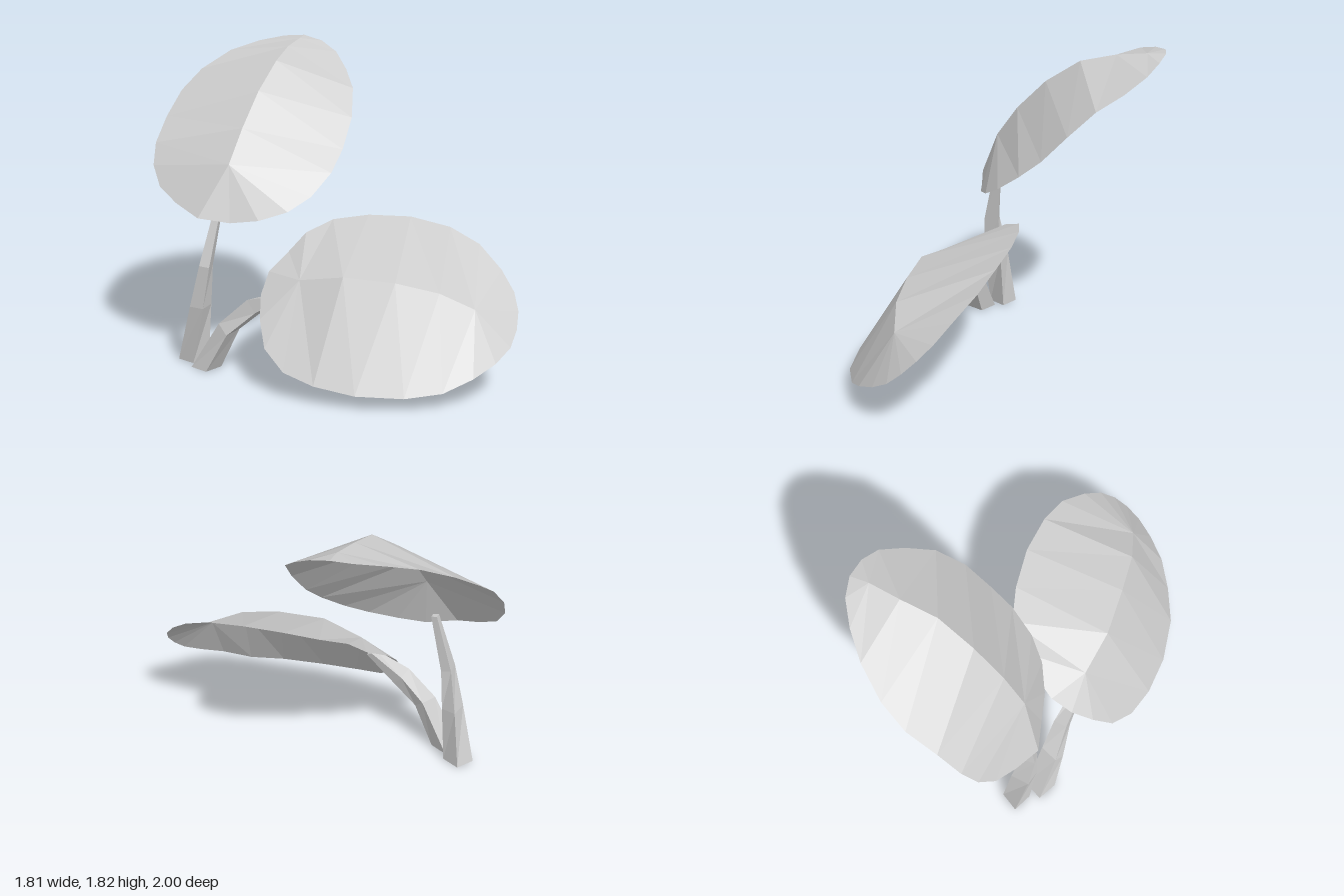
import * as THREE from 'three';

const grey = new THREE.MeshStandardMaterial({ color: 0xcccccc, flatShading: true, side: THREE.DoubleSide });
grey.name = 'pale grey';

// Mesh from a flat list of triangle corners
function faceted(name, corners) {
  const geometry = new THREE.BufferGeometry();
  geometry.setAttribute('position', new THREE.Float32BufferAttribute(corners.flat(), 3));
  geometry.computeVertexNormals();
  const mesh = new THREE.Mesh(geometry, grey);
  mesh.name = name;
  return mesh;
}

// Leaf blade: a closed rim joined to a raised midrib, fanned at both ends
function leaf(name, rib, rim) {
  const start = new THREE.Vector3(...rib[0]);
  const axis = new THREE.Vector3(...rib[rib.length - 1]).sub(start).normalize();
  const along = (p) => new THREE.Vector3(...p).sub(start).dot(axis);
  const nearest = (p) => {
    let best = 0;
    rib.forEach((r, i) => {
      if (Math.abs(along(r) - along(p)) < Math.abs(along(rib[best]) - along(p))) best = i;
    });
    return best;
  };
  const corners = [];
  rim.forEach((p, i) => {
    const q = rim[(i + 1) % rim.length];
    const end = nearest(q);
    let k = nearest(p);
    corners.push(p, q, rib[k]);
    while (k !== end) {
      const next = k + Math.sign(end - k);
      corners.push(q, rib[next], rib[k]);
      k = next;
    }
  });
  return faceted(name, corners);
}

// Stem: four-sided rings (left, front, right, back) lofted upward and capped
function stem(name, rings) {
  const corners = [];
  for (let i = 0; i < rings.length - 1; i++) {
    for (let j = 0; j < 4; j++) {
      const k = (j + 1) % 4;
      const [a, b, c, d] = [rings[i][j], rings[i][k], rings[i + 1][k], rings[i + 1][j]];
      corners.push(a, b, c, a, c, d);
    }
  }
  const [a, b, c, d] = rings[0];
  corners.push(a, c, b, a, d, c);
  const [e, f, g, h] = rings[rings.length - 1];
  corners.push(e, f, g, e, g, h);
  return faceted(name, corners);
}

export function createModel() {
  const group = new THREE.Group();
  group.name = 'twoLeafPlant';

  // Tall rear leaf
  group.add(leaf('rearLeaf',
    [[-0.54, 1.2, -0.16], [-0.43, 1.39, -0.25], [-0.29, 1.58, -0.38],
      [-0.13, 1.73, -0.535], [0.0, 1.785, -0.71], [0.12, 1.81, -0.85]],
    [[-0.905, 1.15, -0.51], [-0.893, 1.04, -0.41], [-0.83, 0.966, -0.28], [-0.74, 0.903, -0.13],
      [-0.566, 0.874, -0.068], [-0.41, 0.888, -0.011], [-0.24, 0.932, 0.014], [-0.088, 1.005, -0.011],
      [0.064, 1.12, -0.09], [0.17, 1.235, -0.188], [0.27, 1.398, -0.307], [0.33, 1.549, -0.455],
      [0.345, 1.64, -0.619], [0.33, 1.728, -0.762], [0.27, 1.786, -0.862], [0.18, 1.815, -0.942],
      [0.066, 1.81, -0.989], [-0.098, 1.785, -1.0], [-0.285, 1.738, -0.984], [-0.49, 1.64, -0.926],
      [-0.643, 1.53, -0.836], [-0.772, 1.403, -0.698], [-0.868, 1.267, -0.593]]));

  // Low front leaf
  group.add(leaf('frontLeaf',
    [[-0.256, 0.6, 0.28], [-0.06, 0.65, 0.466], [0.193, 0.636, 0.624],
      [0.41, 0.59, 0.746], [0.6, 0.495, 0.81]],
    [[-0.505, 0.257, 0.4], [-0.442, 0.157, 0.545], [-0.315, 0.112, 0.693], [-0.125, 0.083, 0.841],
      [0.12, 0.08, 0.958], [0.332, 0.097, 0.995], [0.513, 0.16, 0.997], [0.665, 0.218, 0.958],
      [0.778, 0.282, 0.905], [0.845, 0.359, 0.841], [0.888, 0.442, 0.767], [0.902, 0.529, 0.677],
      [0.875, 0.631, 0.561], [0.807, 0.748, 0.397], [0.683, 0.825, 0.254], [0.495, 0.866, 0.1],
      [0.275, 0.866, -0.02], [0.076, 0.838, -0.09], [-0.1, 0.777, -0.069], [-0.22, 0.684, -0.03],
      [-0.365, 0.597, 0.045], [-0.447, 0.495, 0.15], [-0.492, 0.388, 0.275]]));

  // Upright rear stem
  group.add(stem('rearStem', [
    [[-0.83, 0, -0.295], [-0.77, 0, -0.19], [-0.66, 0, -0.24], [-0.72, 0, -0.345]],
    [[-0.78, 0.35, -0.2], [-0.72, 0.35, -0.13], [-0.645, 0.35, -0.215], [-0.705, 0.35, -0.285]],
    [[-0.733, 0.61, -0.147], [-0.68, 0.6, -0.12], [-0.636, 0.6, -0.196], [-0.689, 0.61, -0.222]],
    [[-0.615, 0.985, -0.175], [-0.585, 0.98, -0.16], [-0.565, 0.98, -0.19], [-0.595, 0.985, -0.205]],
  ]));

  // Front stem arching toward the low leaf
  group.add(stem('frontStem', [
    [[-0.795, 0, -0.13], [-0.737, 0, -0.02], [-0.626, 0, -0.083], [-0.684, 0, -0.19]],
    [[-0.66, 0.295, 0.0], [-0.63, 0.235, 0.055], [-0.535, 0.25, 0.0], [-0.565, 0.3, -0.06]],
    [[-0.515, 0.455, 0.1], [-0.48, 0.38, 0.135], [-0.42, 0.37, 0.085], [-0.455, 0.43, 0.04]],
    [[-0.335, 0.53, 0.235], [-0.31, 0.515, 0.265], [-0.28, 0.505, 0.23], [-0.305, 0.525, 0.2]],
  ]));

  return group;
}
